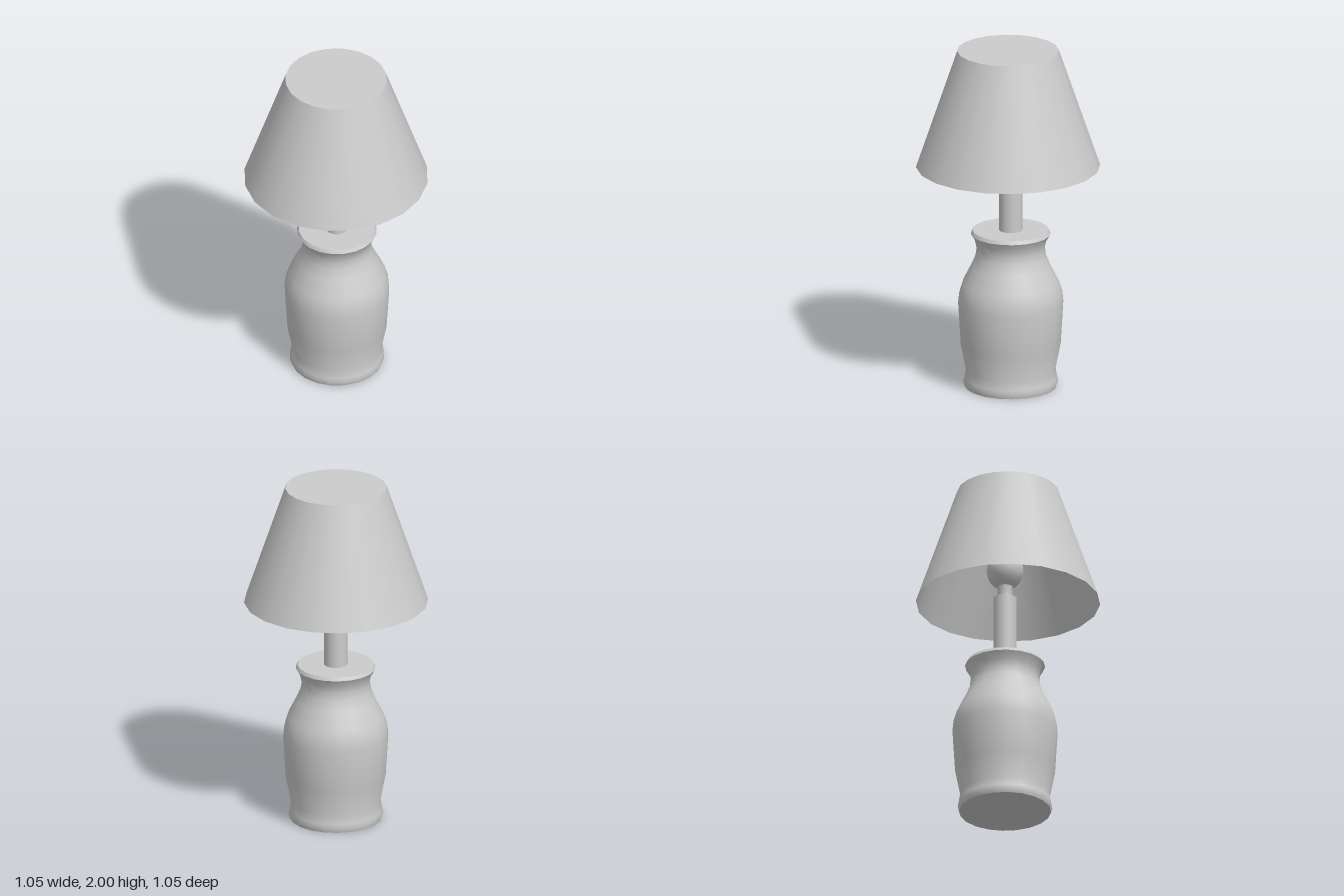
import * as THREE from 'three';
import { toCreasedNormals } from 'three/addons/utils/BufferGeometryUtils.js';

const SIDES = 20;

export function createModel() {
  const lamp = new THREE.Group();
  lamp.name = 'tableLamp';
  const grey = new THREE.MeshStandardMaterial({ color: 0xcccccc });
  const greyOpen = new THREE.MeshStandardMaterial({ color: 0xcccccc, side: THREE.DoubleSide });

  const add = (parent, name, geometry, material = grey) => {
    const mesh = new THREE.Mesh(geometry, material);
    mesh.name = name;
    parent.add(mesh);
    return mesh;
  };
  // Turned part from [radius, height] pairs, listed bottom to top
  const turned = (profile) => toCreasedNormals(
    new THREE.LatheGeometry(profile.map(([r, y]) => new THREE.Vector2(r, y)), SIDES), 0.65);

  // Body, stem and bulb share an axis slightly off the shade's centre
  const stand = new THREE.Group();
  stand.name = 'stand';
  stand.position.set(0.012, 0, -0.012);
  lamp.add(stand);

  // Vase-shaped body with foot rim, shoulder, neck and lip
  add(stand, 'body', turned([
    [0, 0], [0.262, 0], [0.27, 0.025], [0.265, 0.05], [0.256, 0.1],
    [0.285, 0.25], [0.3, 0.5], [0.294, 0.56], [0.276, 0.62], [0.225, 0.72],
    [0.201, 0.78], [0.195, 0.825], [0.204, 0.87], [0.228, 0.91],
    [0.218, 0.93], [0, 0.93],
  ]));

  // Stem
  const stem = add(stand, 'stem', new THREE.CylinderGeometry(0.066, 0.066, 0.42, SIDES));
  stem.position.y = 1.125;

  // Bulb: narrow socket neck swelling into a globe
  const bulb = [[0.042, 1.33], [0.042, 1.395]];
  for (let i = 0; i <= 10; i++) {
    const a = THREE.MathUtils.lerp(-1.13, Math.PI / 2, i / 10);
    bulb.push([Math.max(0, 0.105 * Math.cos(a)), 1.51 + 0.115 * Math.sin(a)]);
  }
  add(stand, 'bulb', turned(bulb));

  // Shade: tapered wall, open below, closed by a flat top
  const shade = new THREE.Group();
  shade.name = 'shade';
  lamp.add(shade);
  const wall = add(shade, 'shadeWall',
    new THREE.CylinderGeometry(0.29, 0.525, 0.69, SIDES, 1, true), greyOpen);
  wall.position.y = 1.655;
  const top = add(shade, 'shadeTop',
    new THREE.CircleGeometry(0.29, SIDES).rotateX(-Math.PI / 2), greyOpen);
  top.position.y = 2;

  return lamp;
}
